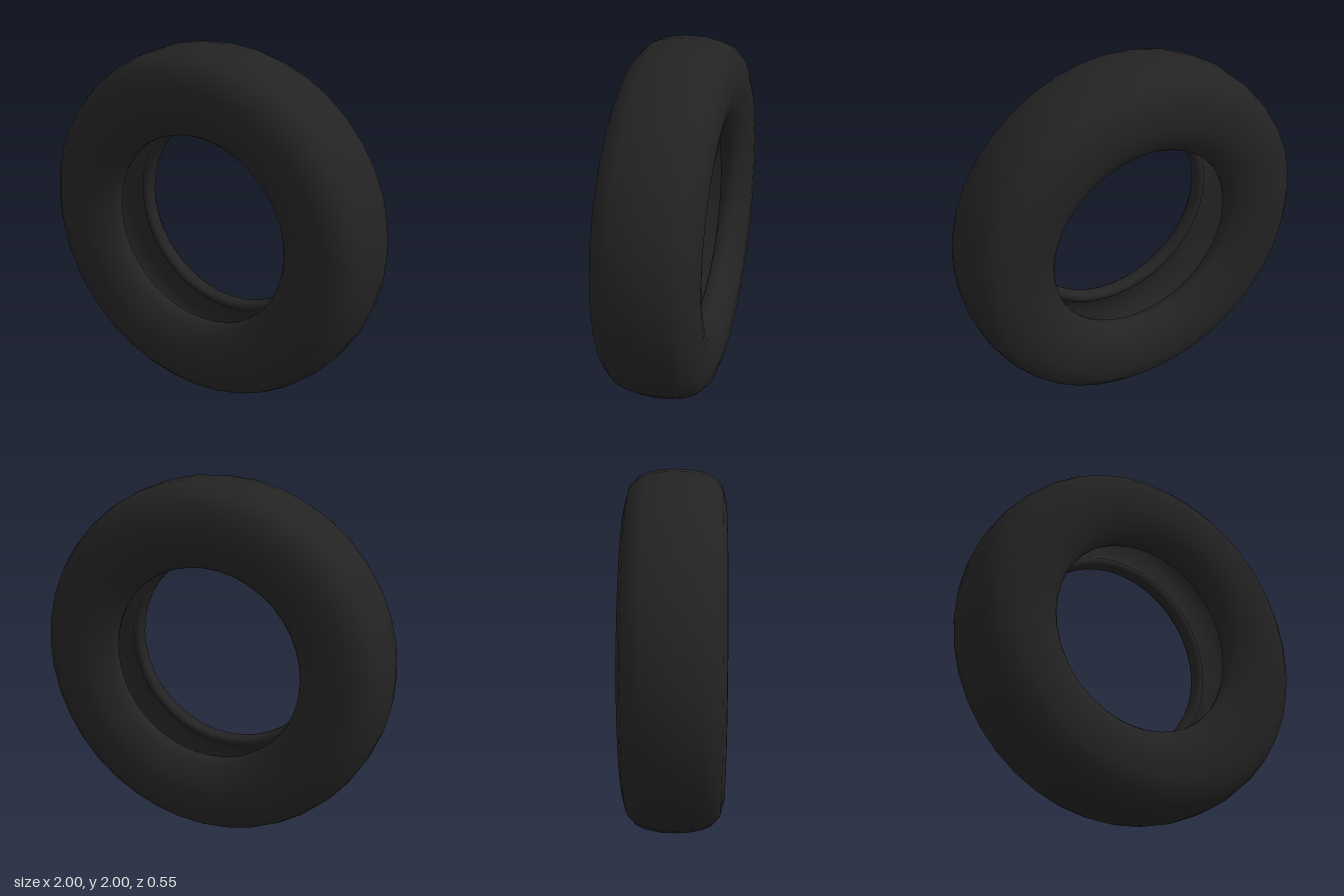
import * as THREE from 'three';

// Half of the closed tyre cross-section as [radius, half-width],
// from the middle of the tread, round the bead, to the middle of the liner.
const outerHalf = [
  [1.0, 0], [0.998, 0.07], [0.982, 0.15], [0.962, 0.2], [0.91, 0.25],
  [0.83, 0.271], [0.74, 0.275], [0.67, 0.262], [0.61, 0.235], [0.57, 0.205],
  [0.552, 0.18], [0.55, 0.155], [0.558, 0.125], [0.575, 0.11],
];
const innerHalf = [
  [0.6, 0.125], [0.64, 0.18], [0.7, 0.22], [0.8, 0.228],
  [0.88, 0.205], [0.93, 0.15], [0.95, 0.07], [0.952, 0],
];

export function createModel() {
  const group = new THREE.Group();
  group.name = 'tyre';

  const rubber = new THREE.MeshStandardMaterial({ color: 0x232323 });
  rubber.name = 'black rubber';

  // Tread, sidewall, bead and liner on the front, then mirrored to the back
  const half = [...outerHalf, ...innerHalf];
  const back = half.slice(0, -1).reverse().map(([r, z]) => [r, -z]);
  const profile = [...half, ...back].map(([r, z]) => new THREE.Vector2(r, z));

  // Spin the section about the axle and stand it upright
  const geometry = new THREE.LatheGeometry(profile, 40);
  geometry.rotateX(Math.PI / 2);
  geometry.translate(0, 1, 0);

  const casing = new THREE.Mesh(geometry, rubber);
  casing.name = 'tyreCasing';
  group.add(casing);
  return group;
}
